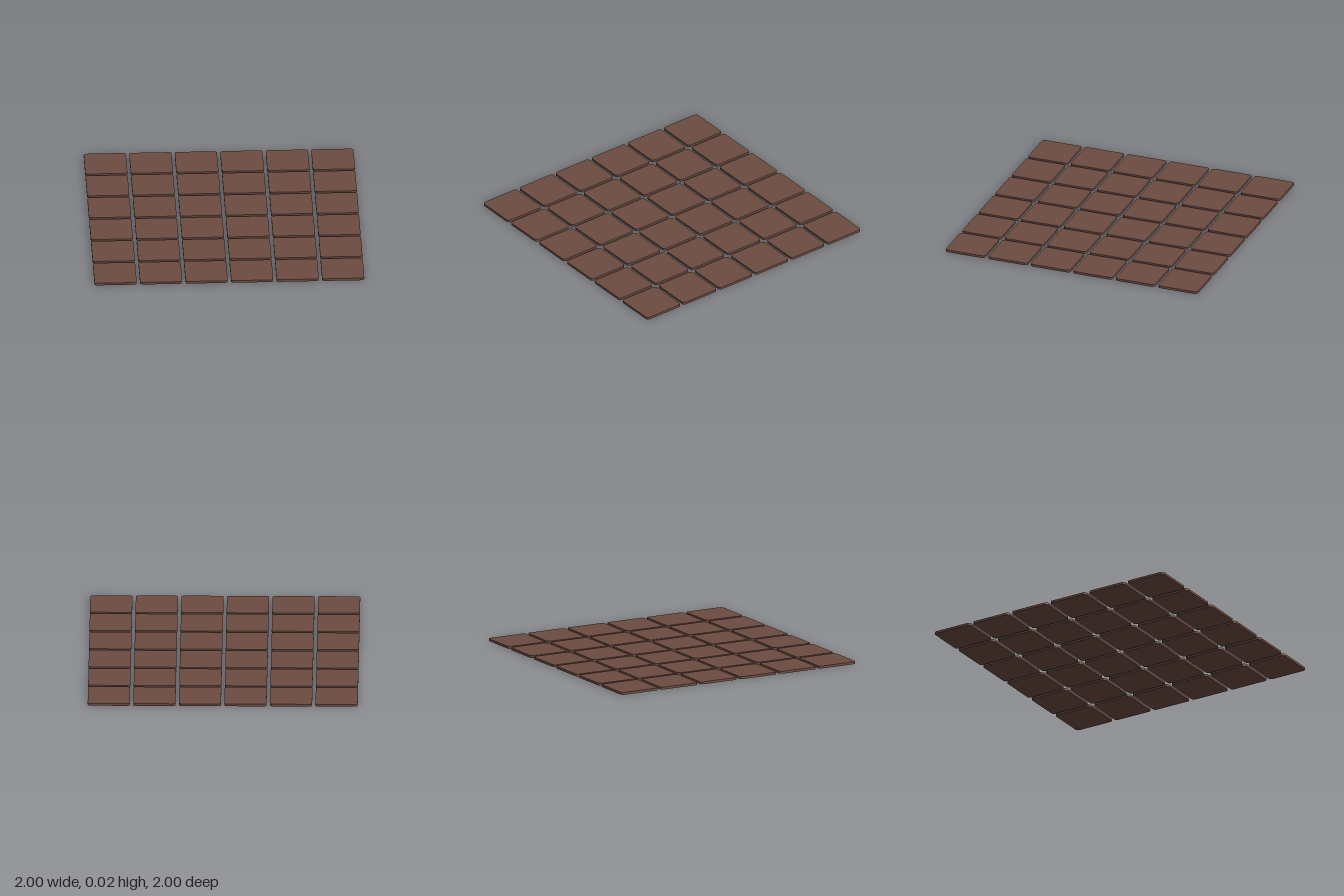
import * as THREE from 'three';

const COUNT = 6;        // tiles per side
const SIZE = 0.3125;    // tile edge length
const PITCH = 0.3375;   // distance between tile centres
const HEIGHT = 0.018;
const RADIUS = 0.022;   // rounded corner

// Rounded square slab lying on y = 0
function tileGeometry() {
  const h = SIZE / 2, c = h - RADIUS;
  const shape = new THREE.Shape();
  shape.absarc(c, c, RADIUS, 0, Math.PI / 2);
  shape.absarc(-c, c, RADIUS, Math.PI / 2, Math.PI);
  shape.absarc(-c, -c, RADIUS, Math.PI, Math.PI * 1.5);
  shape.absarc(c, -c, RADIUS, Math.PI * 1.5, Math.PI * 2);
  shape.closePath();
  const geometry = new THREE.ExtrudeGeometry(shape, {
    depth: HEIGHT, bevelEnabled: false, curveSegments: 6,
  });
  return geometry.rotateX(-Math.PI / 2);
}

export function createModel() {
  const model = new THREE.Group();
  model.name = 'tiledFloor';
  const geometry = tileGeometry();
  const material = new THREE.MeshStandardMaterial({ color: 0x6d4c41 });
  const middle = (COUNT - 1) / 2;

  // Square grid of separate tiles
  for (let row = 0; row < COUNT; row++) {
    for (let column = 0; column < COUNT; column++) {
      const tile = new THREE.Mesh(geometry, material);
      tile.name = `tileRow${row + 1}Column${column + 1}`;
      tile.position.set((column - middle) * PITCH, 0, (row - middle) * PITCH);
      model.add(tile);
    }
  }
  return model;
}
